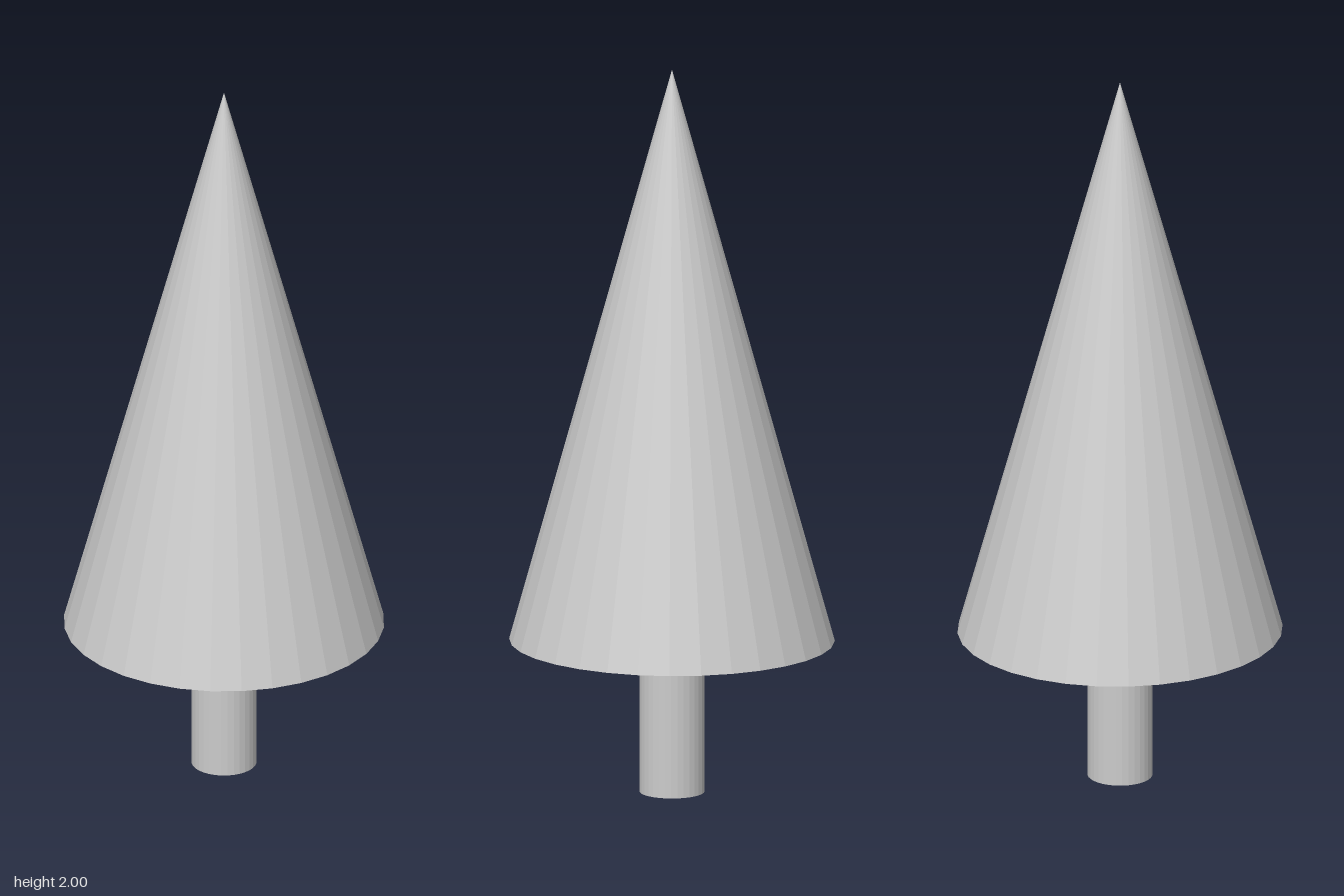
import * as THREE from 'three';

const SIDES = 32;

export function createModel() {
  const group = new THREE.Group();
  const material = new THREE.MeshStandardMaterial({
    color: 0xcccccc, flatShading: true, side: THREE.DoubleSide,
  });
  const add = (name, geometry, y = 0, sx = 1, sz = 1) => {
    const mesh = new THREE.Mesh(geometry, material);
    mesh.name = name;
    mesh.position.y = y;
    mesh.scale.set(sx, 1, sz);
    group.add(mesh);
  };

  // Foliage: open cone, slightly deeper than wide
  const rimY = 0.42, height = 2 - rimY;
  add('foliage', new THREE.ConeGeometry(1, height, SIDES, 1, true), rimY + height / 2, 0.433, 0.443);

  // Shallow dished underside, set back inside the rim
  const profile = [[0, 0.527], [0.57, 0.498], [0.946, 0.505]]
    .map(([r, y]) => new THREE.Vector2(r, y));
  add('foliageUnderside', new THREE.LatheGeometry(profile, SIDES), 0, 0.433, 0.443);

  // Trunk
  const trunkHeight = 0.53;
  add('trunk', new THREE.CylinderGeometry(0.088, 0.088, trunkHeight, SIDES), trunkHeight / 2);

  return group;
}
